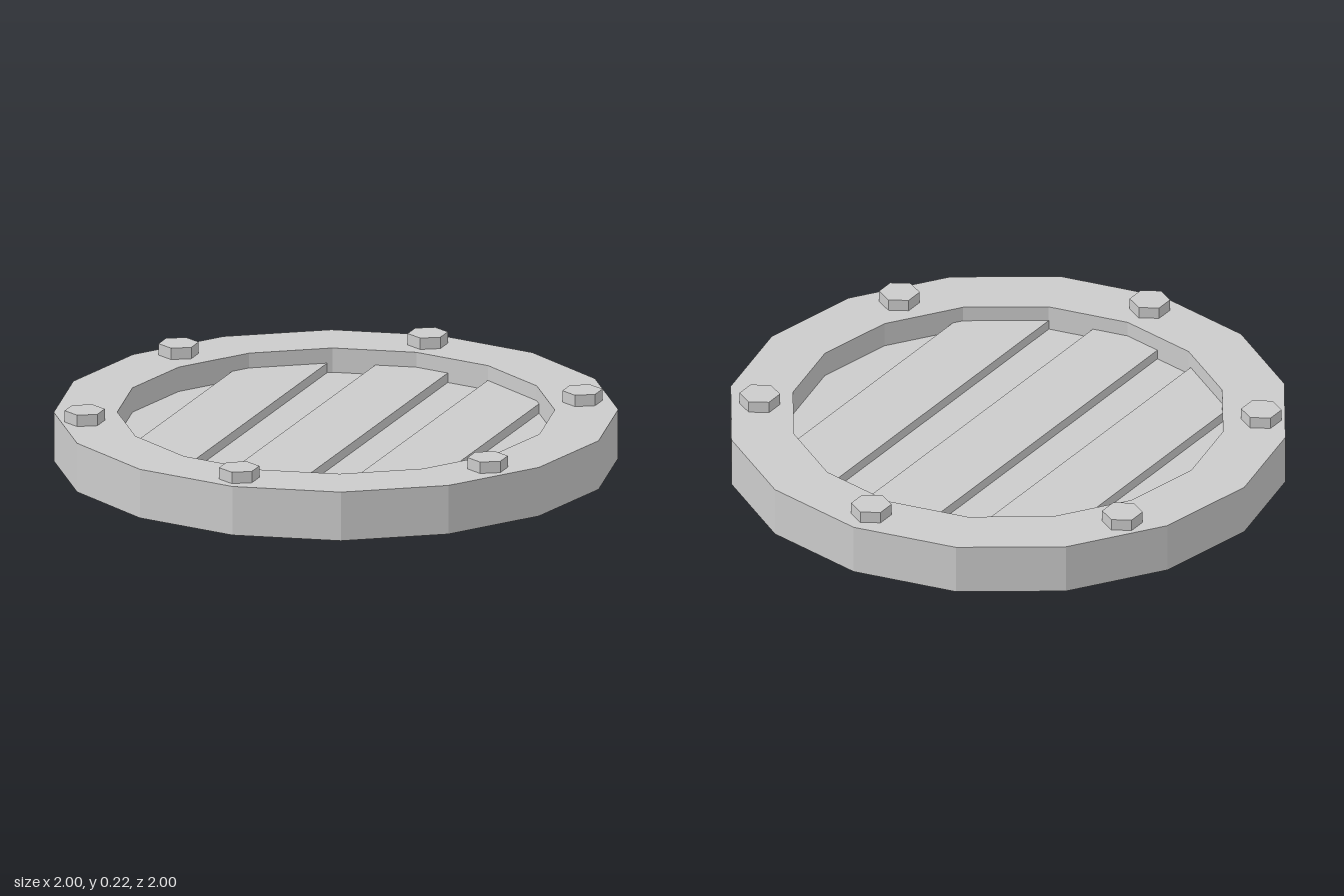
import * as THREE from 'three';

const SIDES = 16, OUTER = 1, INNER = 0.775, RING_TOP = 0.18;
const material = new THREE.MeshStandardMaterial({ color: 0xcccccc, flatShading: true });

// corners of a regular polygon with one corner on +x
function polygon(radius) {
  return Array.from({ length: SIDES }, (_, i) => {
    const a = (i / SIDES) * Math.PI * 2;
    return new THREE.Vector2(radius * Math.cos(a), radius * Math.sin(a));
  });
}

// extrude a plan shape upwards from y0 to y1
function slab(name, shape, y0, y1) {
  const geometry = new THREE.ExtrudeGeometry(shape, { depth: y1 - y0, bevelEnabled: false });
  geometry.rotateX(-Math.PI / 2).translate(0, y0, 0);
  const mesh = new THREE.Mesh(geometry, material);
  mesh.name = name;
  return mesh;
}

// strip from x0 to x1, its ends cut to the ring's inner outline
function stripShape(x0, x1) {
  const upper = polygon(INNER).slice(0, SIDES / 2 + 1).reverse();
  const halfLength = (x) => {
    const i = upper.findIndex((p) => p.x >= x);
    const a = upper[i - 1], b = upper[i];
    return THREE.MathUtils.mapLinear(x, a.x, b.x, a.y, b.y);
  };
  const xs = [x0, ...upper.map((p) => p.x).filter((x) => x > x0 && x < x1), x1];
  const edge = xs.map((x) => new THREE.Vector2(x, halfLength(x)));
  const mirrored = edge.map((p) => new THREE.Vector2(p.x, -p.y)).reverse();
  return new THREE.Shape([...edge, ...mirrored]);
}

export function createModel() {
  const model = new THREE.Group();
  model.name = 'drainCover';

  // outer ring
  const ringShape = new THREE.Shape(polygon(OUTER));
  ringShape.holes.push(new THREE.Path(polygon(INNER).reverse()));
  model.add(slab('ring', ringShape, 0, RING_TOP));

  // thin plate filling the ring
  model.add(slab('plate', new THREE.Shape(polygon(INNER)), 0.075, 0.09));

  // wide bars standing proud of the plate above and below
  for (const [x0, x1] of [[-0.588, -0.312], [-0.145, 0.13], [0.295, 0.57]]) {
    model.add(slab('bar', stripShape(x0, x1), 0.027, 0.125));
  }

  // hexagonal bolt heads, slightly uneven around the ring
  const boltHead = new THREE.CylinderGeometry(0.072, 0.072, 0.045, 6);
  const bolts = [[0, -0.885], [0.768, -0.432], [0.758, 0.457], [-0.015, 0.896], [-0.782, 0.444], [-0.775, -0.445]];
  for (const [x, z] of bolts) {
    const bolt = new THREE.Mesh(boltHead, material);
    bolt.name = 'bolt';
    bolt.position.set(x, RING_TOP + 0.0195, z);
    model.add(bolt);
  }
  return model;
}
